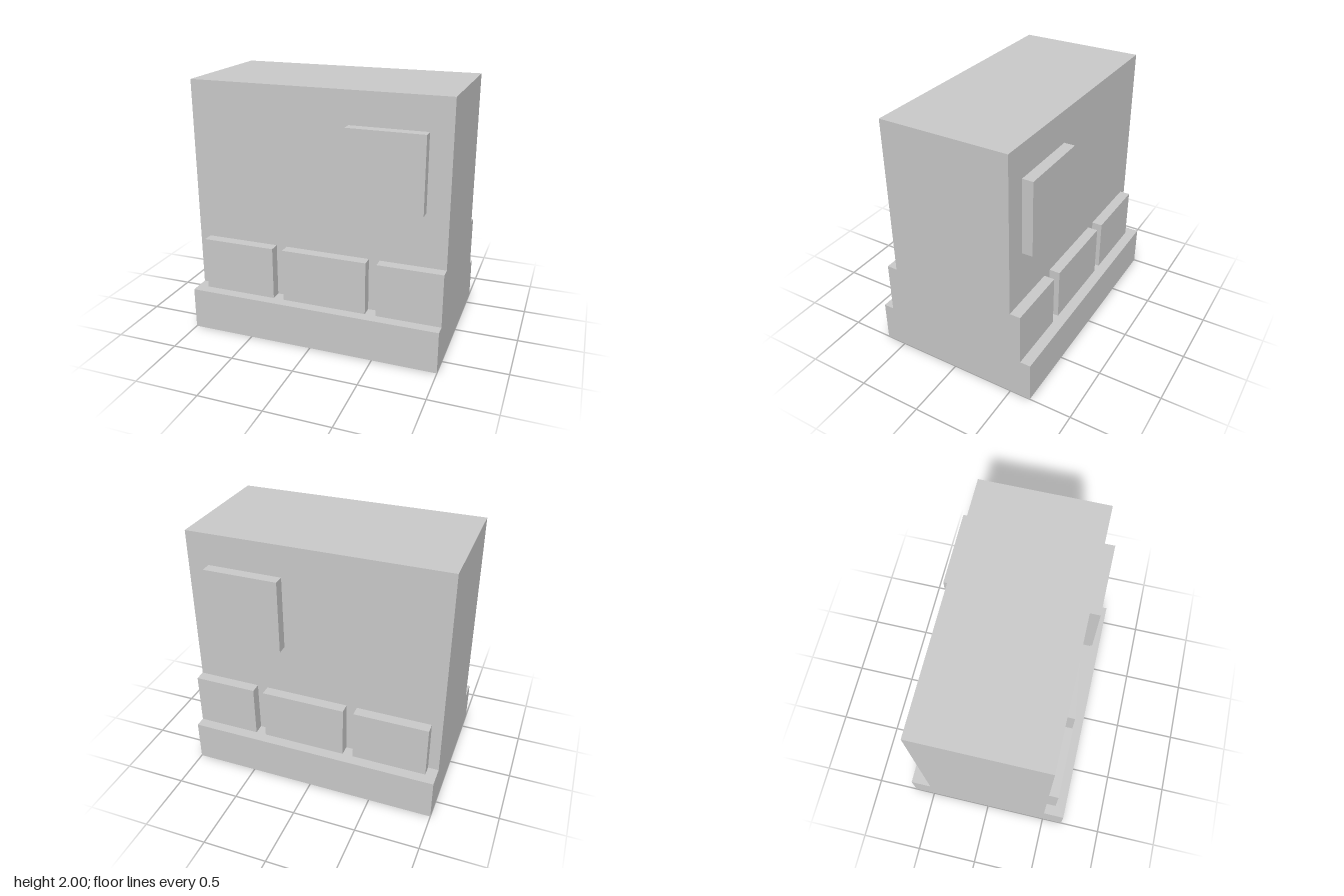
import * as THREE from 'three';

// All sizes are multiples of this unit
const U = 1 / 12;

export function createModel() {
  const group = new THREE.Group();
  group.name = 'wallSegment';
  const material = new THREE.MeshStandardMaterial({ color: 0xcccccc, flatShading: true });

  // Box given by its limits on each axis, in units
  function addBox(name, [x0, x1], [y0, y1], [z0, z1]) {
    const geometry = new THREE.BoxGeometry((x1 - x0) * U, (y1 - y0) * U, (z1 - z0) * U);
    const mesh = new THREE.Mesh(geometry, material);
    mesh.name = name;
    mesh.position.set((x0 + x1) * U / 2, (y0 + y1) * U / 2, (z0 + z1) * U / 2);
    group.add(mesh);
  }

  // Wide plinth and the wall standing on it
  addBox('plinth', [-12, 12], [0, 4], [-8, 8]);
  addBox('wall', [-12, 12], [4, 24], [-6, 6]);

  // Raised stones, the same on front and back
  for (const [side, z] of [['front', [6, 7]], ['back', [-7, -6]]]) {
    [[-11, -4], [-3, 5], [6, 12]].forEach((x, i) => {
      addBox(`${side}LowerStone${i + 1}`, x, [4, 9], z);
    });
    addBox(`${side}UpperStone`, [3, 10], [14, 21], z);
  }
  return group;
}
